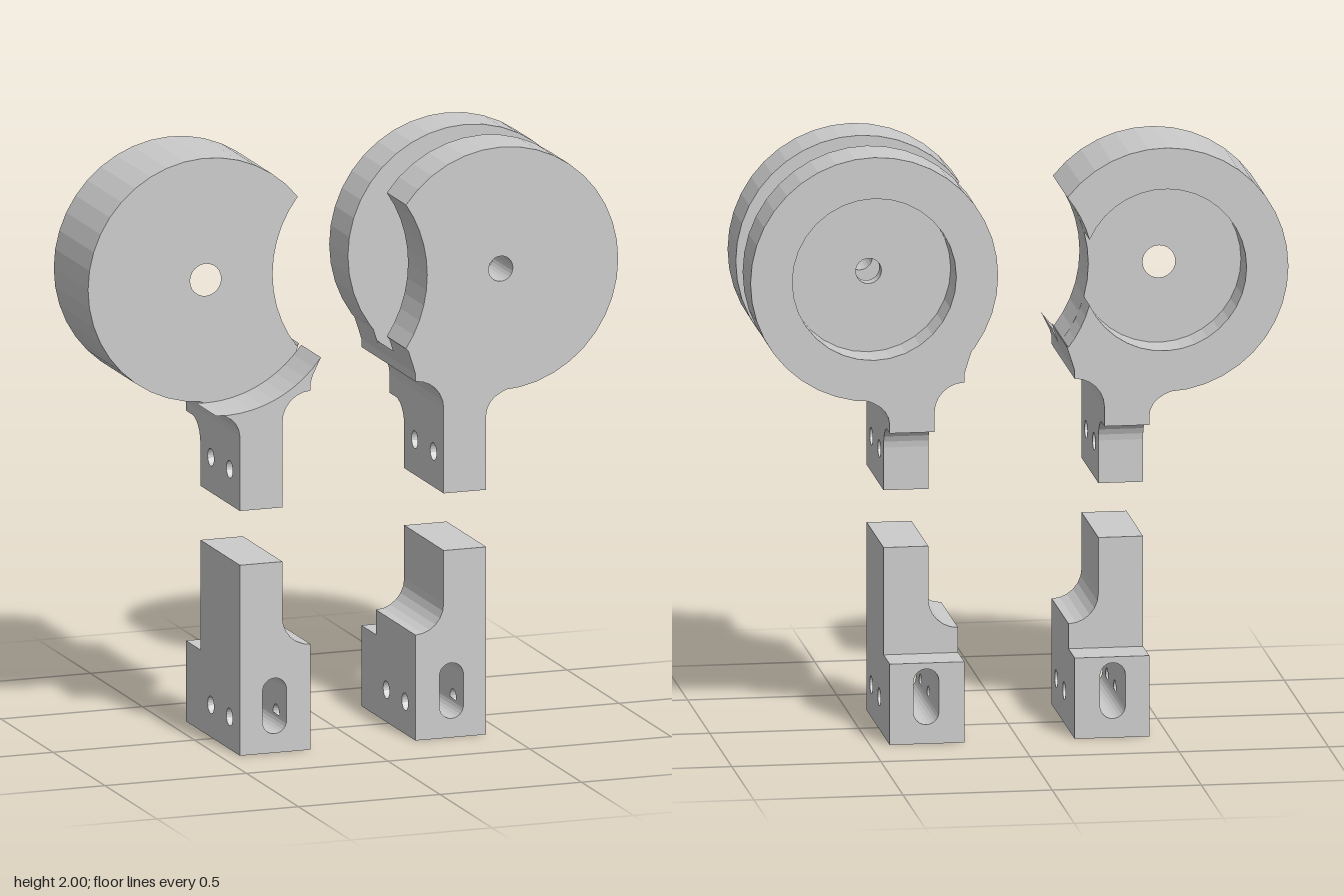
import * as THREE from 'three';

const material = new THREE.MeshStandardMaterial({ color: 0xcccccc, flatShading: true });
const CX = 0.4865, CY = 1.585, R = 0.415, CAVITY = 0.275;
const RAD = Math.PI / 180;

// Points along an arc, angles in degrees
function arc(cx, cy, r, from, to, n = 10) {
  return Array.from({ length: n + 1 }, (_, i) => {
    const a = (from + (to - from) * i / n) * RAD;
    return [cx + r * Math.cos(a), cy + r * Math.sin(a)];
  });
}

const vec = (pts, s = 1) => pts.map(([x, y]) => new THREE.Vector2(x * s, y));

function shapeOf(pts, holes, s = 1) {
  const shape = new THREE.Shape(vec(pts, s));
  holes.forEach(h => shape.holes.push(new THREE.Path(vec(h, s))));
  return shape;
}

function addMesh(group, name, geometry) {
  const mesh = new THREE.Mesh(geometry, material);
  mesh.name = name;
  group.add(mesh);
}

// Front outline (mirrored by s) extruded from z0 to z1
function alongZ(group, name, s, pts, z0, z1, holes = []) {
  const g = new THREE.ExtrudeGeometry(shapeOf(pts, holes, s), { depth: z1 - z0, bevelEnabled: false });
  addMesh(group, name, g.translate(0, 0, z0));
}

// Side outline (z, y) extruded between x0 and x1 (mirrored by s)
function alongX(group, name, s, pts, x0, x1, holes = []) {
  const g = new THREE.ExtrudeGeometry(shapeOf(pts, holes), { depth: x1 - x0, bevelEnabled: false });
  g.rotateY(-Math.PI / 2);
  addMesh(group, name, g.translate(s > 0 ? x1 : -x0, 0, 0));
}

const circle = (cx, cy, r, n = 36) => arc(cx, cy, r, 0, 360, n).slice(0, -1);
const boltHoles = y => [0.16, -0.02].map(z => circle(z, y, 0.03, 20));

// Angles at which a circle of radius r round the disc centre meets the notch circle
function meet(r, nx, nr) {
  const d = CX - nx;
  const a = (d * d + r * r - nr * nr) / (2 * d);
  const h = Math.sqrt(r * r - a * a);
  return [Math.acos(a / r) / RAD, Math.asin(h / nr) / RAD];
}

// Disc with a round bite on its inner side
function notchedDisc(nx, nr) {
  const [a, b] = meet(R, nx, nr);
  return [...arc(CX, CY, R, 180 + a, 540 - a, 32), ...arc(nx, CY, nr, b, -b, 10).slice(1, -1)];
}

// Rim left open where the bite breaks into the recess
function openRim(nx, nr) {
  const [a, b] = meet(R, nx, nr), [c, d] = meet(CAVITY, nx, nr);
  return [
    ...arc(CX, CY, R, 180 + a, 540 - a, 32),
    ...arc(nx, CY, nr, b, d, 4).slice(1),
    ...arc(CX, CY, CAVITY, 180 - c, -180 + c, 32).slice(1),
    ...arc(nx, CY, nr, -d, -b, 4).slice(1, -1),
  ];
}

// Flared top of the stem, hollowed above by a circle of radius r
function saddle(r) {
  const wide = r < 0.425;
  const flare = [[0.435, 1.06], [0.435, 1.09], [0.439, 1.112], [0.45, 1.133]];
  if (wide) flare.push([0.465, 1.149], [0.488, 1.163]);
  return [
    [0.285, 1.06], ...flare,
    ...arc(CX, CY, r, wide ? 274.5 : 268.5, wide ? 216.5 : 223.7, 10),
    [0.178, 1.276], [0.185, 1.252], ...arc(0.185, 1.125, 0.1, 90, 0, 6),
  ];
}

// Straight stem with bolt holes and a rounded step at the back
function stem(group, s) {
  alongX(group, 'stem', s, [
    [0.26, 0.835], [0.26, 1.06], [-0.26, 1.06], ...arc(-0.2, 0.98, 0.08, 90, 0, 6), [-0.12, 0.835],
  ], 0.285, 0.435, boltHoles(0.955));
}

// Foot block with an upright slot, cross holes and a filleted upright
function foot(s, top) {
  const group = new THREE.Group();
  group.name = s > 0 ? 'leftFoot' : 'rightFoot';
  const side = [[0.26, 0], [0.26, 0.275], [-0.26, 0.275], [-0.26, 0]];
  const x0 = 0.27, x1 = 0.355, mid = (x0 + x1) / 2, r = (x1 - x0) / 2;
  alongX(group, 'outerCheek', s, side, x1, 0.435, boltHoles(0.11));
  alongX(group, 'innerCheek', s, side, 0.185, x0, boltHoles(0.11));
  alongZ(group, 'slotBottom', s, [[x0, 0], [x1, 0], ...arc(mid, 0.065 + r, r, 360, 180, 12)], -0.26, 0.26);
  alongZ(group, 'slotTop', s, [[x1, 0.275], [x0, 0.275], ...arc(mid, 0.255 - r, r, 180, 0, 12)], -0.26, 0.26);
  alongZ(group, 'upright', s, [
    [0.185, 0.275], [0.435, 0.275], [0.435, top], [0.285, top], ...arc(0.185, 0.46, 0.1, 0, -90, 6),
  ], -0.12, 0.26);
  return group;
}

// Thick single disc, recessed at the back, with a saddle ledge in front
function singleDisc(s) {
  const group = new THREE.Group();
  group.name = 'singleDiscHolder';
  const nx = -0.165, nr = 0.415;
  alongZ(group, 'discPlate', s, notchedDisc(nx, nr), -0.13, 0.07, [circle(CX, CY, 0.055, 24)]);
  alongZ(group, 'discRim', s, openRim(nx, nr), -0.26, -0.13);
  alongZ(group, 'neck', s, saddle(0.41), -0.26, 0.07);
  alongZ(group, 'frontLedge', s, saddle(0.42), 0.07, 0.26);
  stem(group, s);
  return group;
}

// Two discs with an open groove between them
function doubleDisc(s) {
  const group = new THREE.Group();
  group.name = 'doubleDiscHolder';
  const bore = circle(CX, CY, 0.043, 24);
  alongZ(group, 'frontDisc', s, notchedDisc(-0.21, 0.437), 0.075, 0.26, [bore]);
  alongZ(group, 'backDiscPlate', s, circle(CX, CY, R, 40), -0.13, -0.08, [bore]);
  alongZ(group, 'backDiscRim', s, circle(CX, CY, R, 40), -0.26, -0.13, [circle(CX, CY, CAVITY, 32)]);
  alongZ(group, 'frontNeck', s, saddle(0.41), 0.075, 0.26);
  alongZ(group, 'grooveWeb', s, saddle(0.43), -0.08, 0.075);
  alongZ(group, 'backNeck', s, saddle(0.41), -0.26, -0.08);
  stem(group, s);
  return group;
}

export function createModel() {
  const model = new THREE.Group();
  model.name = 'discBrackets';
  model.add(singleDisc(-1), doubleDisc(1), foot(-1, 0.65), foot(1, 0.64));
  return model;
}
